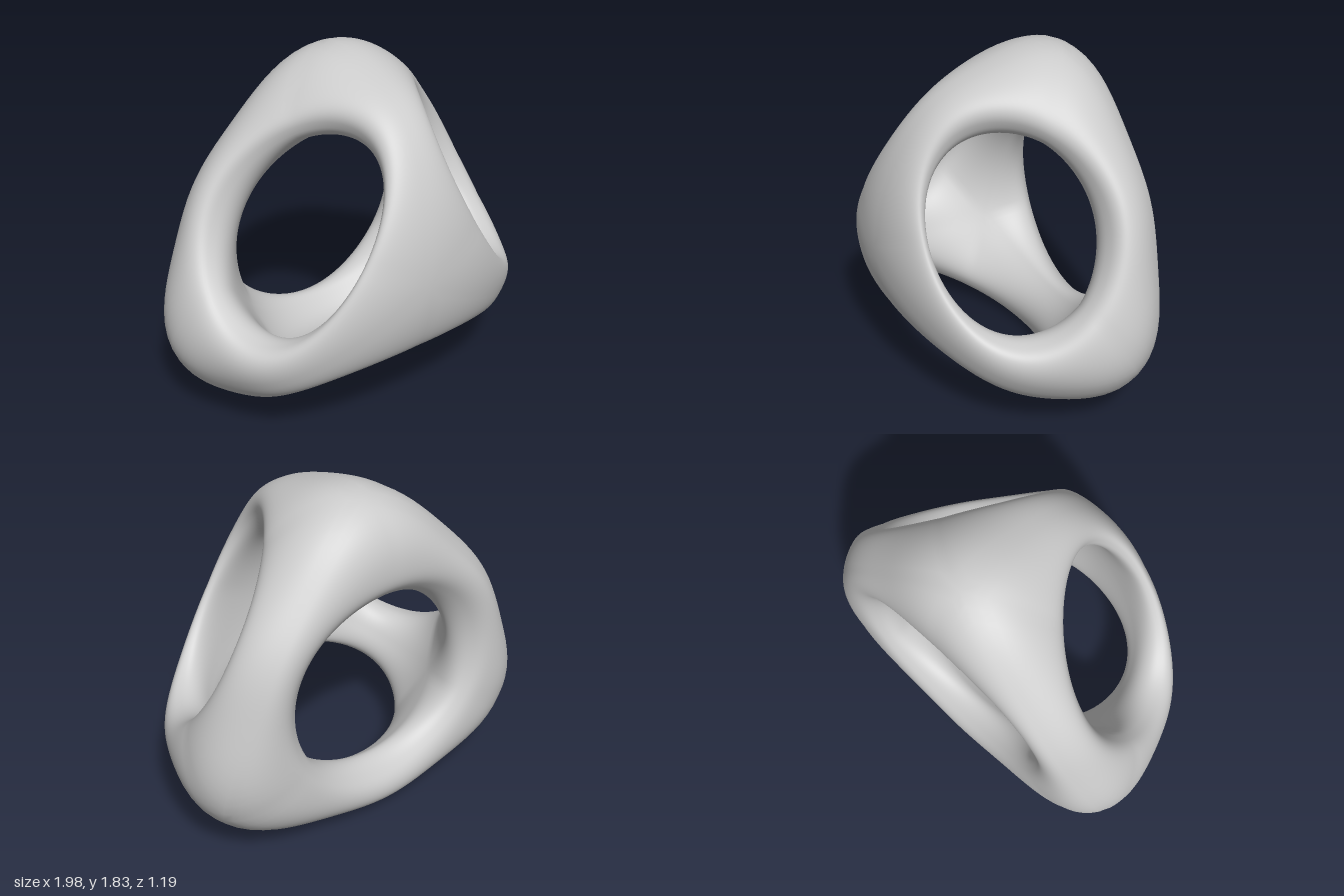
import * as THREE from 'three';
import { mergeVertices } from 'three/addons/utils/BufferGeometryUtils.js';

const AROUND = 96;   // steps around each opening (multiple of 3)
const ACROSS = 40;   // steps from the outer ridge through the opening to the inside
const POWER = 0.8;   // below 1 squares the strut section slightly
const rad = THREE.MathUtils.degToRad;

// Corner directions of a tetrahedron: three at the back, one tip at the front.
const k = Math.sqrt(8) / 3;
const tip = new THREE.Vector3(0, 0, 1);
const backCorners = [90, 210, 330].map((d) =>
  new THREE.Vector3(k * Math.cos(rad(d)), k * Math.sin(rad(d)), -1 / 3));
const corners = [tip, ...backCorners];

// Outer skin: fullest at the corners, leaner halfway along the struts.
function outerRadius(dir) {
  let t = 0;
  for (const c of corners) t += c.dot(dir) ** 3;
  return THREE.MathUtils.lerp(0.905 + 0.065 * dir.z, 1.02, (t / 0.889) ** 2);
}

// The cavity reaches nearer the skin at the front tip.
const innerRadius = (dir) => 0.615 + 0.1 * dir.z + 0.1 * dir.z ** 2;

// Polar angle of the strut centre line, seen from the axis of an opening.
function ridgeAngle(psi) {
  const third = (2 * Math.PI) / 3;
  const d = (psi % third) - third / 2;
  return Math.atan(Math.SQRT2 / Math.cos(d));
}

// Polar angle of the narrowest ring of an opening.
function rimAngle(psi, isBack) {
  return isBack
    ? rad(46.5 - 0.5 * Math.cos(3 * psi))
    : rad(41.5 - 0.2 * Math.cos(3 * psi) + 5 * Math.cos(psi));
}

// Places a unit-frame point: flattened in depth, slightly leaning, flat at the back.
function place(p) {
  const zz = p.z * p.z;
  const z = -0.105 + 0.82 * p.z - 0.125 * zz + 0.61;
  return [
    1.095 * p.x + 0.04 * p.y - 0.05 * zz,
    0.8 + 1.03 * p.y + 0.02 * p.x + 0.04 * zz,
    -0.61 + (z + Math.hypot(z, 0.03)) / 2,
  ];
}

// One quarter of the frame: the half struts that surround one opening.
function addOpening(positions, indices, opposite) {
  const isBack = opposite === tip;
  const axis = opposite.clone().negate();
  const toward = isBack ? backCorners[0] : tip;
  const u = toward.clone().addScaledVector(axis, -toward.dot(axis)).normalize();
  const w = new THREE.Vector3().crossVectors(axis, u);
  const base = positions.length / 3;
  const row = ACROSS + 1;
  for (let i = 0; i < AROUND; i++) {
    const psi = (i / AROUND) * Math.PI * 2;
    const spoke = u.clone().multiplyScalar(Math.cos(psi)).addScaledVector(w, Math.sin(psi));
    const ridge = ridgeAngle(psi);
    const rim = rimAngle(psi, isBack);
    for (let j = 0; j <= ACROSS; j++) {
      const phi = (j / ACROSS) * Math.PI;
      const side = Math.pow(Math.max(0, Math.sin(phi)), POWER);
      const c = Math.cos(phi);
      const depth = Math.sign(c) * Math.pow(Math.abs(c), POWER);
      const beta = ridge + (rim - ridge) * side;
      const dir = axis.clone().multiplyScalar(Math.cos(beta)).addScaledVector(spoke, Math.sin(beta));
      const ro = outerRadius(dir), ri = innerRadius(dir);
      positions.push(...place(dir.multiplyScalar((ro + ri) / 2 + depth * (ro - ri) / 2)));
      if (j < ACROSS) {
        const a = base + i * row + j;
        const b = base + ((i + 1) % AROUND) * row + j;
        indices.push(a, b, a + 1, b, b + 1, a + 1);
      }
    }
  }
}

export function createModel() {
  const positions = [], indices = [];
  for (const c of corners) addOpening(positions, indices, c);

  // Weld the four quarters along the strut ridges so the shading is seamless.
  let geometry = new THREE.BufferGeometry();
  geometry.setAttribute('position', new THREE.Float32BufferAttribute(positions, 3));
  geometry.setIndex(indices);
  geometry = mergeVertices(geometry, 1e-4);
  geometry.computeVertexNormals();

  const frame = new THREE.Mesh(geometry, new THREE.MeshStandardMaterial({ color: 0xcccccc }));
  frame.name = 'roundedTetrahedralFrame';
  const group = new THREE.Group();
  group.name = 'openSculpture';
  group.add(frame);
  return group;
}
